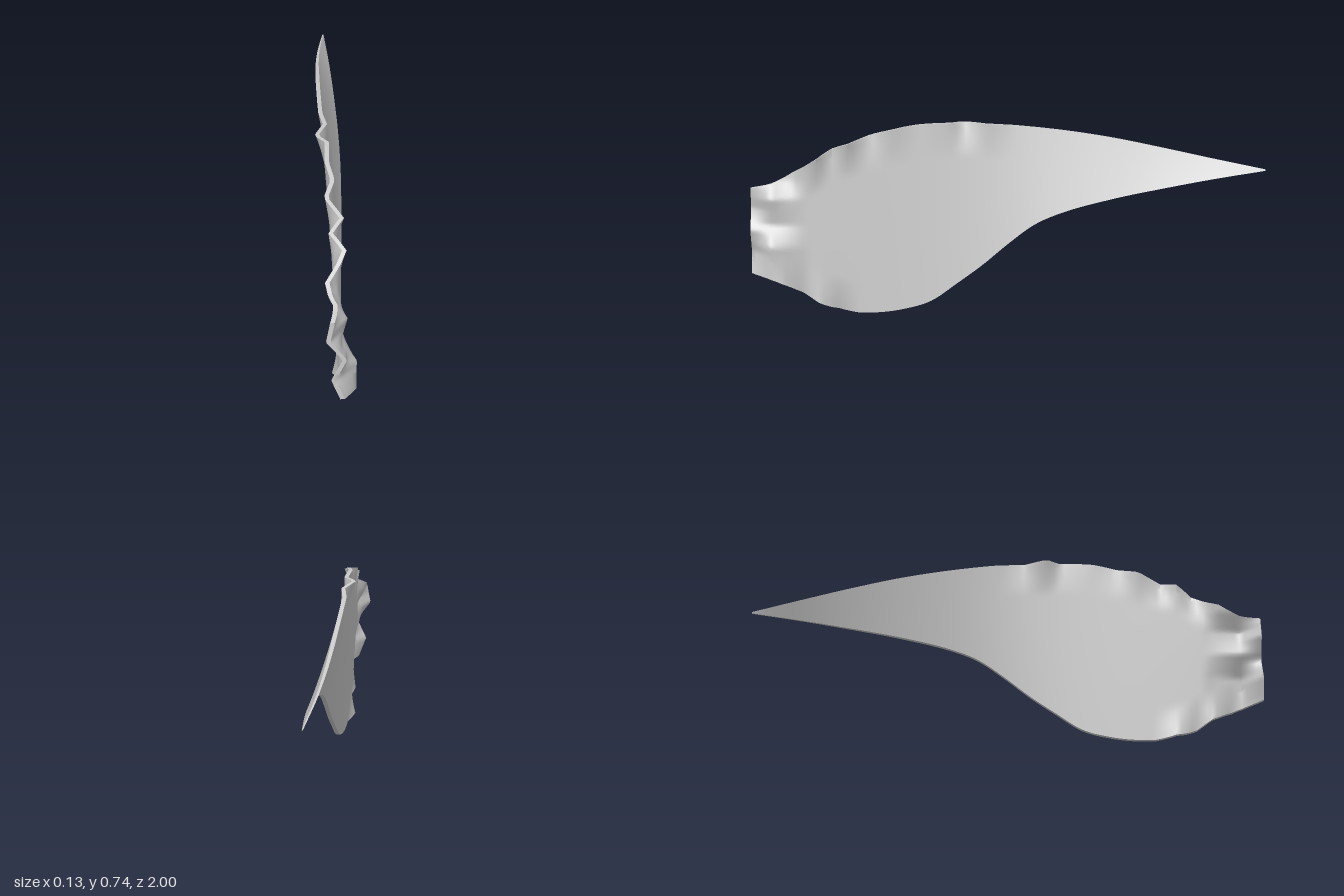
import * as THREE from 'three';
import { toCreasedNormals } from 'three/addons/utils/BufferGeometryUtils.js';

// Lookup through [position, value] pairs, smooth or straight between them
function lookup(pairs, smooth) {
  const Type = smooth ? THREE.CubicInterpolant : THREE.LinearInterpolant;
  const f = new Type(pairs.map(p => p[0]), pairs.map(p => p[1]), 1, new Float32Array(1));
  return t => f.evaluate(t)[0];
}

// Outline of the blade: height of upper and lower edge along z
const topY = lookup([[-1, .564], [-.8, .603], [-.6, .645], [-.4, .685], [-.2, .715], [0, .735], [.2, .745],
  [.4, .73], [.6, .675], [.7, .635], [.8, .57], [.9, .515], [1, .49]], true);
const lowY = lookup([[-1, .559], [-.8, .53], [-.6, .495], [-.4, .455], [-.2, .4], [-.1, .355], [0, .28], [.1, .195],
  [.2, .12], [.3, .05], [.4, .018], [.5, .003], [.6, .003], [.7, .025], [.8, .08], [.9, .135], [1, .16]], true);

// Sideways lean of the two edges
const topX = lookup([[-1, .035], [-.8, .008], [-.6, -.01], [-.4, -.02], [0, -.029], [.5, -.024], [1, -.022]], true);
const lowX = lookup([[-1, .037], [-.8, .046], [-.6, .051], [-.2, .052], [0, .044], [.2, .03], [.5, .013], [1, .002]], true);

// Ragged ruffles on the upper, lower and front edges
const topRuffle = lookup([[-1, 0], [-.02, 0], [.08, .012], [.17, -.026], [.22, .01], [.35, 0], [.45, .014], [.53, -.016],
  [.62, .035], [.68, -.008], [.74, .036], [.84, -.02], [.92, .01], [1, -.01]]);
const lowRuffle = lookup([[-1, 0], [.58, 0], [.66, -.025], [.74, .012], [.8, -.015], [.88, .022], [1, -.005]]);
const frontEdge = lookup([[0, 0], [.16, -.005], [.245, -.035], [.33, .01], [.41, -.04], [.49, -.012], [.8, -.01]]);
const frontFold = lookup([[0, 0], [.13, .02], [.265, .045], [.35, -.005], [.45, .02], [.52, -.025], [.8, 0]]);

function midX(z, v, y, top, low) {
  const fade = d => Math.max(0, 1 - d / .13) ** 1.5;
  let x = THREE.MathUtils.lerp(lowX(z), topX(z), v);
  x += topRuffle(z) * fade(top - y) + lowRuffle(z) * fade(y - low);
  if (z > .92) x += THREE.MathUtils.lerp(frontFold(y), frontEdge(y), (z - .92) / .08);
  else if (z > .78) x += frontFold(y) * (z - .78) / .14;
  return x;
}

function bladeGeometry(nz, nv) {
  const positions = [];
  const point = (i, j, side) => {
    const z = -1 + 2 * i / nz, v = j / nv, top = topY(z), low = lowY(z);
    const y = THREE.MathUtils.lerp(low, top, v);
    const half = .002 + .006 * Math.min(1, (z + 1) / .6);
    return [midX(z, v, y, top, low) + side * half, y, z];
  };
  const quad = (a, b, c, d) => positions.push(...a, ...b, ...c, ...a, ...c, ...d);
  for (let i = 0; i < nz; i++) {
    // Both broad faces
    for (let j = 0; j < nv; j++) {
      quad(point(i, j, 1), point(i, j + 1, 1), point(i + 1, j + 1, 1), point(i + 1, j, 1));
      quad(point(i, j, -1), point(i + 1, j, -1), point(i + 1, j + 1, -1), point(i, j + 1, -1));
    }
    // Upper and lower rim
    quad(point(i, nv, -1), point(i + 1, nv, -1), point(i + 1, nv, 1), point(i, nv, 1));
    quad(point(i, 0, 1), point(i + 1, 0, 1), point(i + 1, 0, -1), point(i, 0, -1));
  }
  // Front rim and blunt tip
  for (let j = 0; j < nv; j++) {
    quad(point(nz, j, -1), point(nz, j, 1), point(nz, j + 1, 1), point(nz, j + 1, -1));
    quad(point(0, j, 1), point(0, j, -1), point(0, j + 1, -1), point(0, j + 1, 1));
  }
  const geometry = new THREE.BufferGeometry();
  geometry.setAttribute('position', new THREE.Float32BufferAttribute(positions, 3));
  return toCreasedNormals(geometry, .9);
}

export function createModel() {
  const group = new THREE.Group();
  group.name = 'raggedBlade';
  const material = new THREE.MeshStandardMaterial({ color: 0xcccccc, side: THREE.DoubleSide });
  const blade = new THREE.Mesh(bladeGeometry(100, 32), material);
  blade.name = 'blade';
  group.add(blade);
  return group;
}
